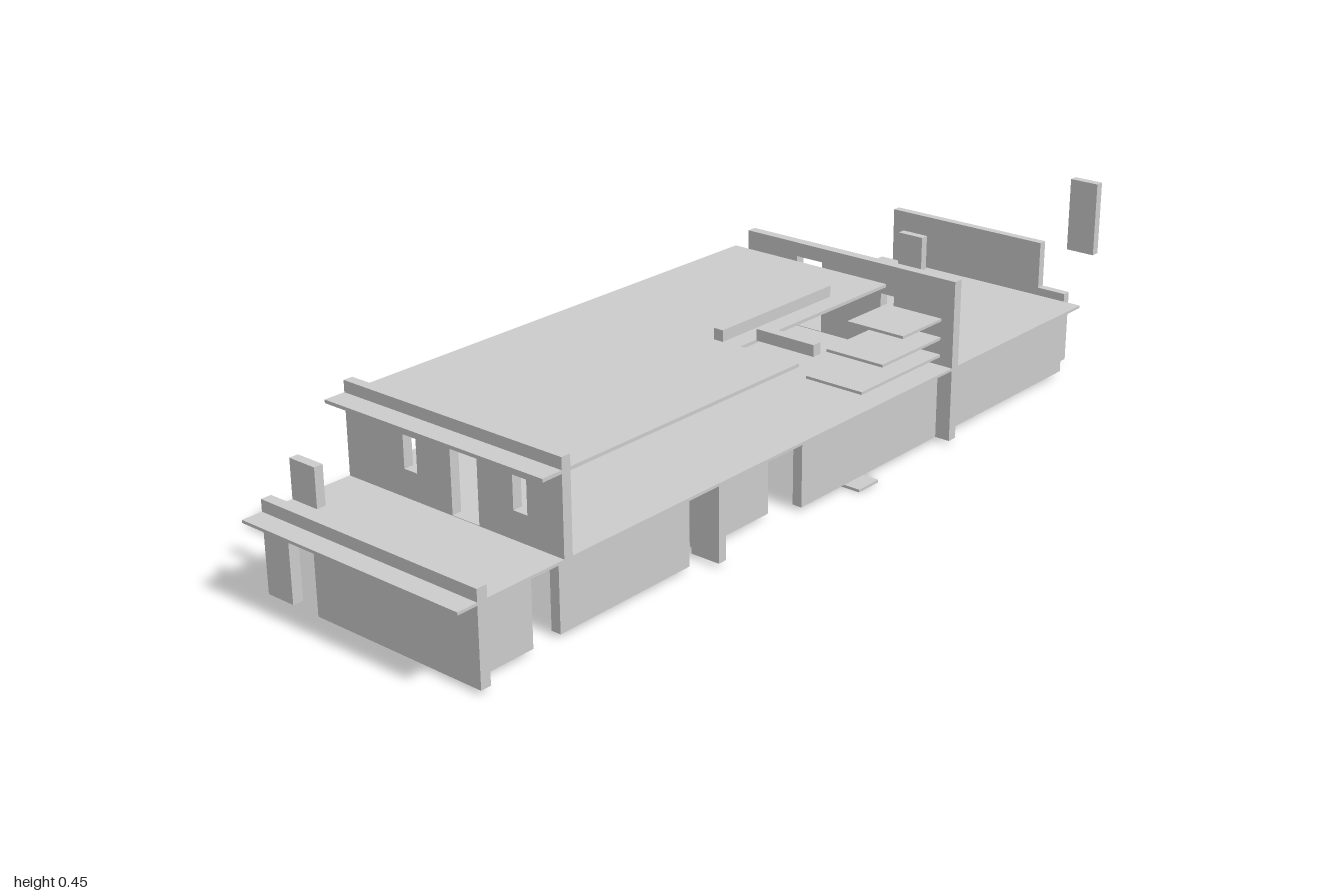
import * as THREE from 'three';

export function createModel() {
  const model = new THREE.Group();
  const mat = new THREE.MeshStandardMaterial({ color: 0xcccccc, flatShading: true });

  // box given by its limits on each axis
  const box = (name, x0, x1, y0, y1, z0, z1) => {
    const m = new THREE.Mesh(new THREE.BoxGeometry(x1 - x0, y1 - y0, z1 - z0), mat);
    m.position.set((x0 + x1) / 2, (y0 + y1) / 2, (z0 + z1) / 2);
    m.name = name;
    model.add(m);
  };
  const rect = (P, x0, x1, y0, y1) => {
    const p = new P();
    p.moveTo(x0, y0).lineTo(x1, y0).lineTo(x1, y1).lineTo(x0, y1).closePath();
    return p;
  };
  // outline extruded along z, with rectangular openings
  const wall = (name, shape, holes, z0, z1) => {
    holes.forEach(h => shape.holes.push(rect(THREE.Path, ...h)));
    const m = new THREE.Mesh(new THREE.ExtrudeGeometry(shape, { depth: z1 - z0, bevelEnabled: false }), mat);
    m.position.z = z0;
    m.name = name;
    model.add(m);
  };

  const W = 0.275, P = 0.207, G = 0.008, F0 = 0.167, F = 0.173, R0 = 0.333, R = 0.34, TOP = 0.364;

  // floor and roof slabs; the roof is notched over the stairwell
  box('upperFloor', -W, W, F0, F, -0.935, 1);
  box('roofFront', -W, W, R0, R, 0.1, 0.795);
  box('roofRear', -W, 0.132, R0, R, -0.38, 0.1);

  // front wall with doorway and parapet
  box('frontWallPier', -W, -P, G, F0, 0.932, 0.955);
  box('frontWall', -0.138, W, G, F0, 0.932, 0.955);
  box('frontParapet', -W, W, F0, 0.198, 0.932, 0.955);

  // upper front wall with door and two windows
  wall('upperFrontWall', rect(THREE.Shape, -W, W, F, TOP),
    [[0, 0.068, F + 0.001, R0], [-0.122, -0.088, 0.23, 0.298], [0.155, 0.189, 0.23, 0.298]], 0.727, 0.748);

  // middle cross wall, both storeys
  wall('upperCrossWall', rect(THREE.Shape, -W, W, F, TOP),
    [[-0.138, -0.07, F + 0.001, R0], [0.088, 0.122, 0.23, 0.298]], -0.447, -0.424);
  box('lowerCrossWallLeft', 0, W, G, F, -0.447, -0.424);
  box('lowerCrossWallRight', -W, -0.068, G, F, -0.447, -0.424);

  // stepped back wall and tall panel
  box('backWall', -W, 0.137, G, 0.281, -1, -0.98);
  box('backWallStep', 0.137, P, G, F, -1, -0.98);
  box('backPanel', P, W, 0.281, 0.447, -1, -0.98);

  // lower side walls
  [[0.795, 0.932], [0.38, 0.727], [-0.424, 0.04], [-0.925, -0.447]]
    .forEach(([a, b]) => box('leftSideWall', 0.218, 0.24, G, F0, a, b));
  [[0.38, 0.727], [0.105, 0.315], [-0.424, -0.12], [-0.925, -0.447]]
    .forEach(([a, b]) => box('rightSideWall', -0.265, -0.243, G, F0, a, b));

  // entrance recess and lower partition
  box('recessWall', 0.185, P, G, F0, 0.105, 0.315);
  box('recessPanel', P, W, G, F0, 0.315, 0.336);
  box('lowerPartition', -W, 0.068, G, F0, 0.315, 0.336);
  box('lowerSidePanel', -W, -P, G, F0, 0.8, 0.821);

  // short panels standing on the upper floor
  [0.875, 0.67, 0.045, -0.09].forEach(z =>
    box('shortPanel', -W, -P, z === 0.045 ? 0.14 : F, 0.255, z - 0.01, z + 0.01));
  [-0.365, -0.915].forEach(z => box('shortPanel', -P, -0.14, F, 0.255, z - 0.01, z + 0.01));

  // stair plates and the beams around the stairwell
  [[0.212, -0.105], [0.25, -0.173], [0.291, -0.242]].forEach(([y, z]) =>
    box('stairPlate', 0.135, W, y, y + 0.006, -0.378, z));
  box('longBeam', 0.068, 0.09, R, TOP, -0.242, 0.103);
  box('shortBeam', 0.135, W, R, TOP, 0.033, 0.055);
  box('doorstep', 0.138, W, 0, 0.006, -0.17, -0.105);

  return model;
}
